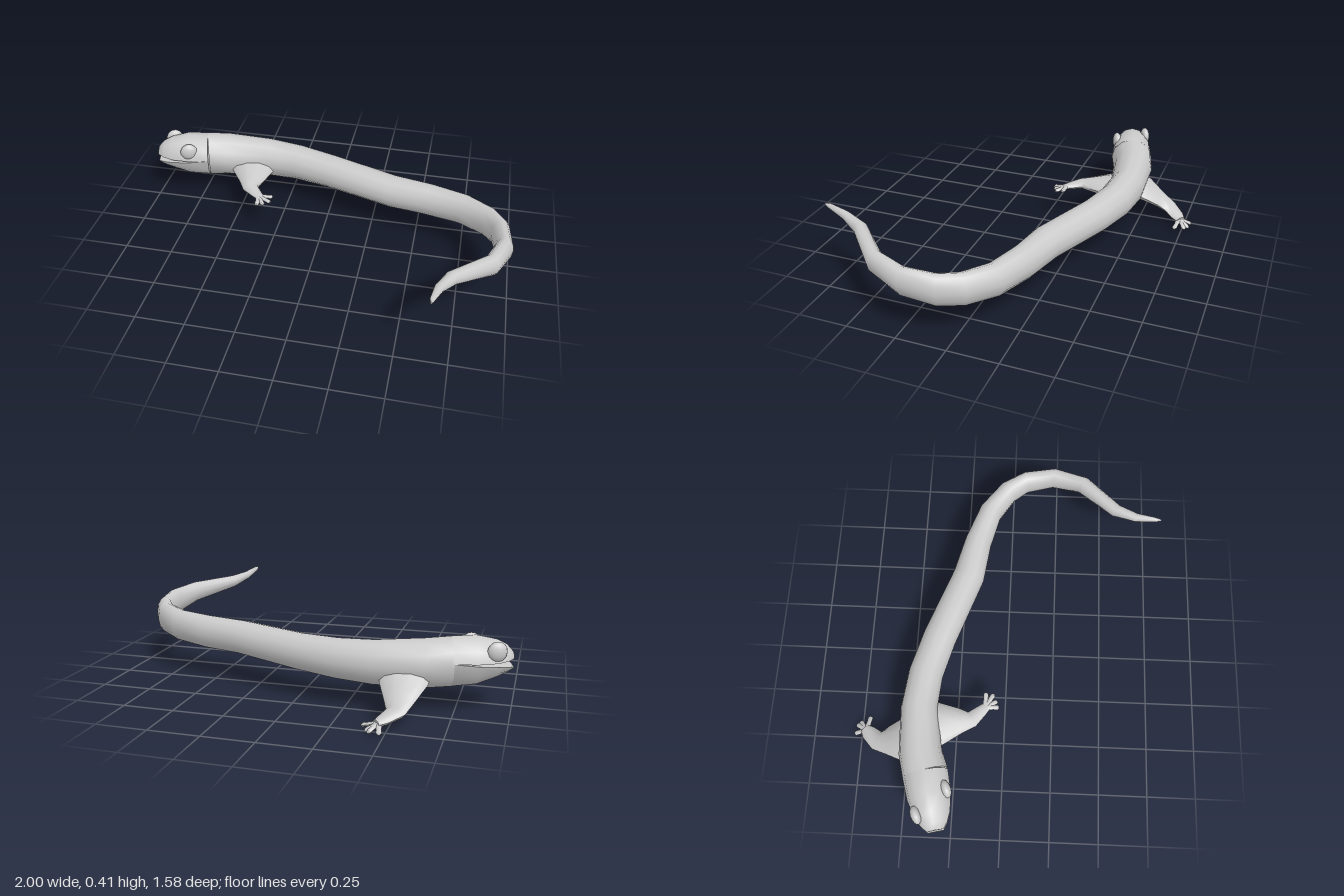
import * as THREE from 'three';
import { toCreasedNormals } from 'three/addons/utils/BufferGeometryUtils.js';

const material = new THREE.MeshStandardMaterial({ color: 0xcccccc });

// Loft through upright oval sections [x, z, halfWidth, top, bottom, middle?]
function loft(sections, sides) {
  const pos = [], index = [], n = sections.length;
  sections.forEach(([x, z, hw, top, bottom, mid = (top + bottom) / 2], i) => {
    const a = sections[Math.max(i - 1, 0)], b = sections[Math.min(i + 1, n - 1)];
    const len = Math.hypot(b[0] - a[0], b[1] - a[1]);
    const sx = -(b[1] - a[1]) / len, sz = (b[0] - a[0]) / len;
    for (let j = 0; j < sides; j++) {
      const t = (j / sides) * Math.PI * 2, c = Math.cos(t) * hw, s = Math.sin(t);
      pos.push(x + sx * c, mid + s * (s > 0 ? top - mid : mid - bottom), z + sz * c);
    }
  });
  for (const i of [0, n - 1]) {
    const [x, z, , top, bottom] = sections[i];
    pos.push(x, (top + bottom) / 2, z);
  }
  for (let j = 0; j < sides; j++) {
    const k = (j + 1) % sides, last = (n - 1) * sides;
    for (let i = 0; i < n - 1; i++) {
      const p = i * sides, q = p + sides;
      index.push(p + j, q + j, p + k, p + k, q + j, q + k);
    }
    index.push(n * sides, j, k, n * sides + 1, last + k, last + j);
  }
  const geo = new THREE.BufferGeometry();
  geo.setAttribute('position', new THREE.Float32BufferAttribute(pos, 3));
  geo.setIndex(index);
  return toCreasedNormals(geo, 0.95);
}

function add(parent, name, geo) {
  const mesh = new THREE.Mesh(geo, material);
  mesh.name = name;
  parent.add(mesh);
  return mesh;
}

// Leg loft plus slender toes fanning from the wrist
function leg(parent, name, sections, wrist, toeTips) {
  const group = new THREE.Group();
  group.name = name;
  parent.add(group);
  add(group, 'limb', loft(sections, 10));
  const [wx, wy, wz] = wrist;
  for (const [x, y, z] of toeTips) {
    const toe = [[0, 0.016], [0.55, 0.012], [0.9, 0.013], [1, 0.007]].map(([t, r]) => {
      const cy = wy + (y - wy) * t;
      return [wx + (x - wx) * t, wz + (z - wz) * t, r, cy + r * 0.8, cy - r * 0.8];
    });
    add(group, 'toe', loft(toe, 6));
  }
}

export function createModel() {
  const model = new THREE.Group();
  model.name = 'salamander';

  // Trunk running into the curled, upright tail
  add(model, 'bodyAndTail', loft([
    [-0.72, -0.375, 0.113, 0.355, 0.115, 0.252],
    [-0.61, -0.41, 0.108, 0.347, 0.11],
    [-0.38, -0.435, 0.093, 0.328, 0.112],
    [-0.2, -0.415, 0.09, 0.318, 0.12],
    [0, -0.358, 0.089, 0.312, 0.13],
    [0.355, -0.225, 0.086, 0.317, 0.145],
    [0.555, -0.185, 0.073, 0.321, 0.148],
    [0.74, -0.125, 0.063, 0.325, 0.158],
    [0.87, -0.03, 0.055, 0.333, 0.17],
    [0.93, 0.065, 0.048, 0.342, 0.182],
    [0.95, 0.22, 0.044, 0.356, 0.212],
    [0.895, 0.38, 0.041, 0.37, 0.255],
    [0.72, 0.555, 0.034, 0.387, 0.318],
    [0.67, 0.66, 0.023, 0.397, 0.352],
    [0.649, 0.76, 0.012, 0.41, 0.382],
    [0.646, 0.787, 0.004, 0.405, 0.393],
  ], 12));

  // Head: two half-round jaws parted at the mouth
  // [x, z, halfWidth, top, upperLip, lowerLip, bottom]
  const head = [
    [-0.994, -0.305, 0.04, 0.287, 0.262, 0.222, 0.207],
    [-0.965, -0.312, 0.064, 0.32, 0.256, 0.227, 0.19],
    [-0.92, -0.325, 0.087, 0.343, 0.251, 0.233, 0.168],
    [-0.83, -0.348, 0.108, 0.362, 0.25, 0.241, 0.13],
    [-0.72, -0.375, 0.113, 0.355, 0.252, 0.252, 0.115],
  ];
  add(model, 'upperJaw', loft(head.map(([x, z, w, t, u]) => [x, z, w, t, u, u]), 12));
  add(model, 'lowerJaw', loft(head.map(([x, z, w, , , l, b]) => [x, z, w * 0.98, l, b, l]), 12));

  // Bulging eyes, flattened against the head
  for (const [name, x, z] of [['leftEye', -0.8, -0.265], ['rightEye', -0.93, -0.4]]) {
    const eye = add(model, name, new THREE.SphereGeometry(0.047, 12, 8));
    eye.scale.z = 0.55;
    eye.position.set(x, 0.303, z);
    eye.rotation.y = 0.4;
  }

  // Raised leg on the front side
  leg(model, 'leftFrontLeg', [
    [-0.46, -0.39, 0.125, 0.25, 0.125],
    [-0.45, -0.33, 0.115, 0.235, 0.13],
    [-0.43, -0.22, 0.065, 0.215, 0.15],
    [-0.42, -0.165, 0.043, 0.205, 0.155],
    [-0.37, -0.115, 0.03, 0.195, 0.165],
    [-0.345, -0.09, 0.022, 0.19, 0.17],
  ], [-0.355, 0.18, -0.1],
  [[-0.35, 0.172, -0.03], [-0.317, 0.172, -0.04], [-0.282, 0.178, -0.06], [-0.278, 0.185, -0.1]]);

  // Planted leg on the back side
  leg(model, 'rightFrontLeg', [
    [-0.53, -0.46, 0.12, 0.24, 0.12],
    [-0.53, -0.52, 0.11, 0.2, 0.108],
    [-0.53, -0.6, 0.073, 0.138, 0.075],
    [-0.525, -0.66, 0.051, 0.092, 0.046],
    [-0.48, -0.71, 0.04, 0.066, 0.028],
    [-0.455, -0.735, 0.025, 0.053, 0.02],
  ], [-0.465, 0.038, -0.725],
  [[-0.48, 0.012, -0.79], [-0.43, 0.012, -0.783], [-0.412, 0.01, -0.765], [-0.385, 0.016, -0.712]]);

  return model;
}
